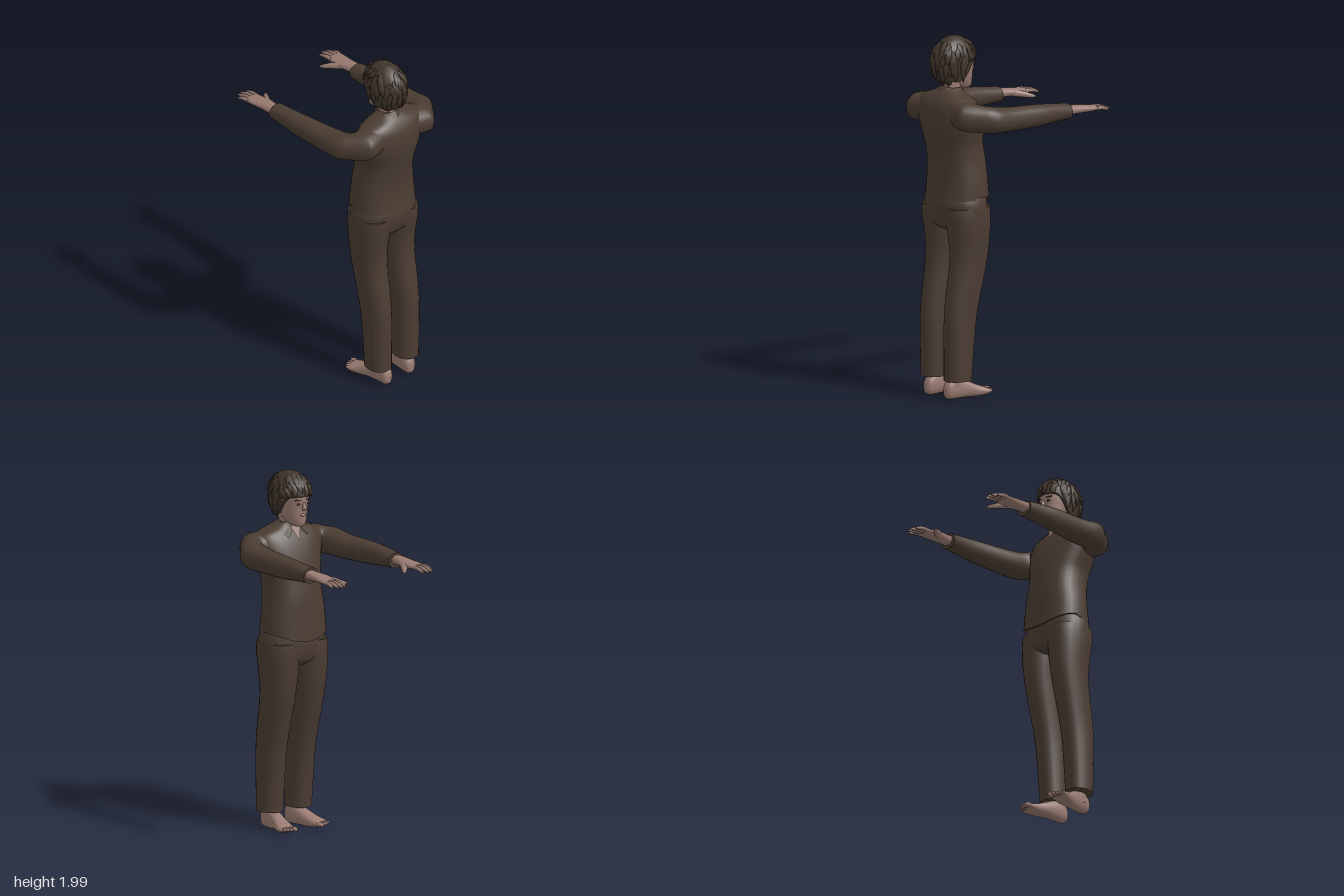
import * as THREE from 'three';

const mat = (name, color) => {
  const m = new THREE.MeshStandardMaterial({ color, side: THREE.DoubleSide });
  m.name = name;
  return m;
};
const V = (x, y, z) => new THREE.Vector3(x, y, z);

// Catmull-Rom smoothing of rows of numbers, k steps between rows
function dense(rows, k) {
  const out = [], at = i => rows[Math.min(rows.length - 1, Math.max(0, i))];
  for (let i = 0; i < rows.length - 1; i++) for (let j = 0; j < k; j++) {
    const t = j / k;
    out.push(rows[i].map((b, c) => {
      const a = at(i - 1)[c], d = at(i + 1)[c], e = at(i + 2)[c];
      return b + 0.5 * t * (d - a + t * (2 * a - 5 * b + 4 * d - e + t * (3 * (b - d) + e - a)));
    }));
  }
  out.push(at(rows.length));
  return out;
}

// Superellipse ring around c, spanned by half-axes u and v
function ring(c, u, v, n = 20, p = 2) {
  const f = w => Math.sign(w) * Math.abs(w) ** (2 / p);
  return Array.from({ length: n }, (_, i) => {
    const a = i / n * Math.PI * 2;
    return c.clone().addScaledVector(u, f(Math.cos(a))).addScaledVector(v, f(Math.sin(a)));
  });
}

// Skin over rings, with capped ends, always facing outward
function loft(rings, caps = true) {
  const n = rings[0].length, pos = [], idx = [];
  const add = p => pos.push(p.x, p.y, p.z) / 3 - 1;
  rings.forEach(r => r.forEach(add));
  for (let j = 0; j < rings.length - 1; j++) for (let i = 0; i < n; i++) {
    const a = j * n + i, b = j * n + (i + 1) % n;
    idx.push(a, b, a + n, b, b + n, a + n);
  }
  if (caps) [rings[0], rings[rings.length - 1]].forEach((r, e) => {
    const c = add(r.reduce((s, p) => s.add(p), V(0, 0, 0)).divideScalar(n));
    r.forEach(add);
    for (let i = 0; i < n; i++) {
      const a = c + 1 + i, b = c + 1 + (i + 1) % n;
      e ? idx.push(c, a, b) : idx.push(c, b, a);
    }
  });
  const P = i => V(pos[i * 3], pos[i * 3 + 1], pos[i * 3 + 2]).sub(rings[0][0]);
  let vol = 0;
  for (let i = 0; i < idx.length; i += 3) vol += P(idx[i]).dot(P(idx[i + 1]).cross(P(idx[i + 2])));
  if (vol < 0) idx.reverse();
  const g = new THREE.BufferGeometry();
  g.setAttribute('position', new THREE.Float32BufferAttribute(pos, 3));
  g.setIndex(idx);
  g.computeVertexNormals();
  return g;
}

// Rows [y, x0, x1, z0, z1] stacked upward
const upright = (rows, s, n, p) => rows.map(([y, a, b, c, d]) =>
  ring(V(s * (a + b) / 2, y, (c + d) / 2), V((b - a) / 2, 0, 0), V(0, 0, (d - c) / 2), n, p));
// Rows [xOuter, zOuter, xInner, zInner, yLow, yHigh] along a limb
const limb = (rows, s, n, p) => rows.map(([a, b, c, d, e, f]) =>
  ring(V(s * (a + c) / 2, (e + f) / 2, (b + d) / 2), V(s * (a - c) / 2, 0, (b - d) / 2), V(0, (f - e) / 2, 0), n, p));
// Tapered round digit along points
function digit(points, radii) {
  const path = new THREE.CatmullRomCurve3(points);
  return loft(radii.map((r, i) => {
    const t = i / (radii.length - 1), d = path.getTangent(t);
    const u = V(0, 1, 0).cross(d).normalize(), v = d.clone().cross(u);
    return ring(path.getPoint(t), u.multiplyScalar(r), v.multiplyScalar(r), 8);
  }));
}

export function createModel() {
  const cloth = mat('dark brown cloth', 0x4a3c32), skin = mat('skin', 0x987a70);
  const hairMat = mat('dark hair', 0x40342b), dark = mat('eye dark', 0x2a201c);
  const root = new THREE.Group();
  const put = (name, geo, m, parent = root) => {
    const o = new THREE.Mesh(geo, m);
    o.name = name;
    parent.add(o);
    return o;
  };

  // Shirt body, its hem arched at the sides
  const shirt = dense([
    [1.07, -.19, .19, .172, .462], [1.2, -.184, .184, .18, .452], [1.3, -.17, .17, .185, .457],
    [1.4, -.165, .165, .2, .475], [1.48, -.185, .185, .217, .491], [1.56, -.205, .205, .24, .495],
    [1.62, -.205, .205, .265, .487], [1.66, -.185, .185, .29, .468], [1.69, -.1, .1, .305, .445],
    [1.715, -.058, .058, .31, .415]], 3);
  const body = upright(shirt, 1, 36, 2.4);
  body.slice(0, 3).forEach((r, j) => r.forEach(p => {
    p.y += (1 - j / 3) * (p.z > .317 ? .035 : .05 * Math.min(1, Math.abs(p.x) / .19) ** 2);
  }));
  put('shirt', loft(body), cloth);

  // Trouser seat
  put('trouserSeat', loft(upright(dense([
    [.93, -.1, .1, .24, .4], [.96, -.185, .185, .2, .442], [1.03, -.198, .198, .188, .46],
    [1.09, -.193, .193, .19, .463], [1.13, -.178, .178, .195, .45]], 3), 1, 32, 2.3)), cloth);

  for (const s of [1, -1]) {
    // Trouser leg
    put('trouserLeg', loft(upright(dense([
      [.105, .032, .166, .316, .472], [.2, .031, .168, .31, .472], [.4, .03, .171, .29, .475],
      [.5, .028, .173, .273, .47], [.6, .025, .177, .25, .456], [.7, .021, .181, .226, .438],
      [.8, .016, .186, .206, .43], [.9, .006, .194, .196, .438], [1.0, .0, .199, .191, .455],
      [1.06, .01, .193, .195, .455]], 2), s, 22, 2.3)), cloth);

    // Sleeve bent forward from the shoulder
    put('sleeve', loft(limb(dense([
      [.1, .47, .1, .29, 1.5, 1.67], [.2, .488, .17, .3, 1.5, 1.663], [.238, .478, .195, .31, 1.5, 1.657],
      [.3, .4, .2, .31, 1.495, 1.648], [.354, .32, .205, .285, 1.49, 1.638],
      [.354, .2, .212, .2, 1.488, 1.622], [.355, 0, .238, 0, 1.492, 1.614],
      [.35, -.1, .245, -.1, 1.5, 1.605], [.346, -.214, .244, -.216, 1.506, 1.592]], 3), s, 20, 2.2)), cloth);

    // Hand with four fingers and a thumb
    const hand = new THREE.Group();
    hand.name = 'hand';
    root.add(hand);
    put('palm', loft(limb(dense([
      [.335, -.19, .264, -.19, 1.525, 1.58], [.337, -.25, .262, -.25, 1.528, 1.578],
      [.341, -.31, .25, -.31, 1.528, 1.572], [.347, -.36, .255, -.36, 1.53, 1.565],
      [.348, -.405, .26, -.405, 1.535, 1.56]], 2), s, 16, 2.3)), skin, hand);
    [[.271, .269, -.485], [.294, .298, -.498], [.317, .324, -.49], [.338, .344, -.465]].forEach(([a, b, z]) =>
      put('finger', digit([V(s * a, 1.547, -.39), V(s * (a + b) / 2, 1.546, (z - .39) / 2), V(s * b, 1.532, z)],
        [.0125, .0115, .0115, .0105, .009, .004]), skin, hand));
    put('thumb', digit([V(s * .275, 1.548, -.3), V(s * .24, 1.538, -.355), V(s * .222, 1.532, -.378), V(s * .198, 1.526, -.405)],
      [.02, .019, .017, .014, .012, .005]), skin, hand);

    // Bare foot, toes turned outward
    const foot = new THREE.Group();
    foot.name = 'foot';
    root.add(foot);
    put('sole', loft(limb(dense([
      [.098, .47, .07, .47, .025, .065], [.115, .455, .052, .455, .006, .1], [.12, .41, .048, .41, .002, .125],
      [.132, .34, .052, .34, .004, .1], [.152, .28, .06, .27, .004, .07],
      [.168, .235, .07, .215, .012, .052], [.165, .215, .077, .195, .02, .045]], 3), s, 18, 2.4)), skin, foot);
    put('ankle', loft(upright([[.05, .05, .122, .345, .455], [.1, .055, .12, .355, .452], [.18, .055, .125, .35, .45]], s, 16)), skin, foot);
    [[.087, .19, .016], [.111, .19, .0115], [.129, .196, .011], [.145, .206, .0105], [.16, .218, .01]].forEach(([x, z, r]) => {
      const toe = put('toe', new THREE.SphereGeometry(r, 10, 8), skin, foot);
      toe.scale.set(.9, .85, 1.7);
      toe.rotation.y = -s * .2;
      toe.position.set(s * x, .033, z);
    });

    // Collar flap wrapping round to a point at the chest
    const flap = new THREE.BufferGeometry(), fp = [], fi = [];
    for (let i = 0; i <= 8; i++) {
      const t = i / 8, a = t * 2.65, tip = Math.max(0, t - .6) / .4;
      fp.push(s * .058 * Math.sin(a), 1.728 - .03 * t - .025 * tip, .36 + .062 * Math.cos(a) - .018 * tip,
        s * (.088 * Math.sin(a) + .022 * tip), 1.69 - .012 * t - .04 * tip, .36 + .085 * Math.cos(a) - .022 * tip);
      if (i) fi.push(2 * i - 2, 2 * i - 1, 2 * i, 2 * i - 1, 2 * i + 1, 2 * i);
    }
    flap.setAttribute('position', new THREE.Float32BufferAttribute(fp, 3));
    flap.setIndex(s > 0 ? fi : fi.reverse());
    flap.computeVertexNormals();
    put('collarFlap', flap, cloth);

    // Eye and brow
    const eye = put('eye', new THREE.SphereGeometry(.011, 10, 8), dark);
    eye.scale.set(1.1, .5, .35);
    eye.position.set(s * .032, 1.828, .226);
    const brow = put('eyebrow', new THREE.BoxGeometry(.036, .006, .008), hairMat);
    brow.position.set(s * .034, 1.85, .225);
    brow.rotation.y = -s * .3;
    const ear = put('ear', new THREE.SphereGeometry(.02, 10, 8), skin);
    ear.scale.set(.45, 1.4, .9);
    ear.position.set(s * .077, 1.805, .335);
  }

  // Open neckline
  const neckline = new THREE.BufferGeometry().setFromPoints([V(-.034, 1.695, .297), V(.034, 1.695, .297), V(0, 1.615, .254)]);
  neckline.computeVertexNormals();
  put('openNeckline', neckline, skin);

  // Neck, head and face
  put('neck', loft(upright([[1.64, -.055, .055, .3, .42], [1.7, -.049, .049, .3, .41], [1.8, -.05, .05, .29, .42]], 1, 20)), skin);
  put('head', loft(upright(dense([
    [1.698, -.022, .022, .24, .3], [1.712, -.04, .04, .228, .34], [1.74, -.054, .054, .224, .385],
    [1.77, -.065, .065, .224, .415], [1.81, -.073, .073, .222, .435], [1.85, -.078, .078, .216, .445],
    [1.9, -.08, .08, .222, .445], [1.95, -.065, .065, .25, .42], [1.975, -.03, .03, .3, .38]], 3), 1, 24, 2.2)), skin);
  put('nose', loft([[1.842, .005, .222, .23], [1.815, .009, .203, .23], [1.803, .013, .195, .23], [1.793, .011, .21, .23]]
    .map(([y, w, a, b]) => ring(V(0, y, (a + b) / 2), V(w, 0, 0), V(0, 0, (b - a) / 2), 10))), skin);
  const mouth = put('mouth', new THREE.SphereGeometry(.02, 12, 8), skin);
  mouth.scale.set(1, .4, .45);
  mouth.position.set(0, 1.765, .226);

  // Hair cap: hairline drops from the fringe to the nape
  const hair = new THREE.Group();
  hair.name = 'hair';
  root.add(hair);
  const edge = a => 1.755 + .115 * THREE.MathUtils.smoothstep(-Math.cos(a), -.1, .75);
  const scalp = (a, t, grow = 0) => {
    const y = 1.994 - (1.994 - edge(a)) * t ** 1.5, h = (y - 1.87) / .126;
    const k = Math.sqrt(Math.max(0, 1 - h * h * (h < 0 ? .4 : 1))) + grow;
    return V(.099 * k * Math.sin(a), y, .343 + .132 * k * Math.cos(a));
  };
  const cap = [];
  for (let j = 0; j <= 9; j++) cap.push(Array.from({ length: 40 }, (_, i) => {
    const a = i / 40 * Math.PI * 2;
    return scalp(a, .04 + .96 * j / 9, .025 * Math.sin(i * 2.4 + j * .6) * j / 9);
  }));
  put('hairCap', loft(cap), hairMat, hair);

  // Overlapping locks laid down the cap
  let seed = 7;
  const rnd = () => (seed = (seed * 16807) % 2147483647) / 2147483647;
  for (let i = 0; i < 72; i++) {
    const a = i * 2.39996, t0 = .2 + .5 * rnd(), len = .3 + .12 * rnd(), lean = (rnd() - .5) * .5;
    const rows = [.3, 1, .9, .12].map((w, j) => {
      const q = j / 3, b = a + lean * q, c = scalp(b, Math.min(1.06, t0 + len * q), .012 + .035 * q);
      const out = V(Math.sin(b), .35 * (1 - q), Math.cos(b));
      return ring(c, V(Math.cos(b), 0, -Math.sin(b)).multiplyScalar(.017 * w), out.multiplyScalar(.006 * w + .001), 6);
    });
    put('hairLock', loft(rows), hairMat, hair);
  }
  // Nape tufts
  for (let i = -3; i <= 3; i++) {
    put('napeTuft', digit([V(i * .017, 1.79, .435 - Math.abs(i) * .006), V(i * .015, 1.755, .425 - Math.abs(i) * .006),
      V(i * .014, 1.725 + .008 * (i & 1), .4)], [.018, .017, .012, .003]), hairMat, hair);
  }
  return root;
}
